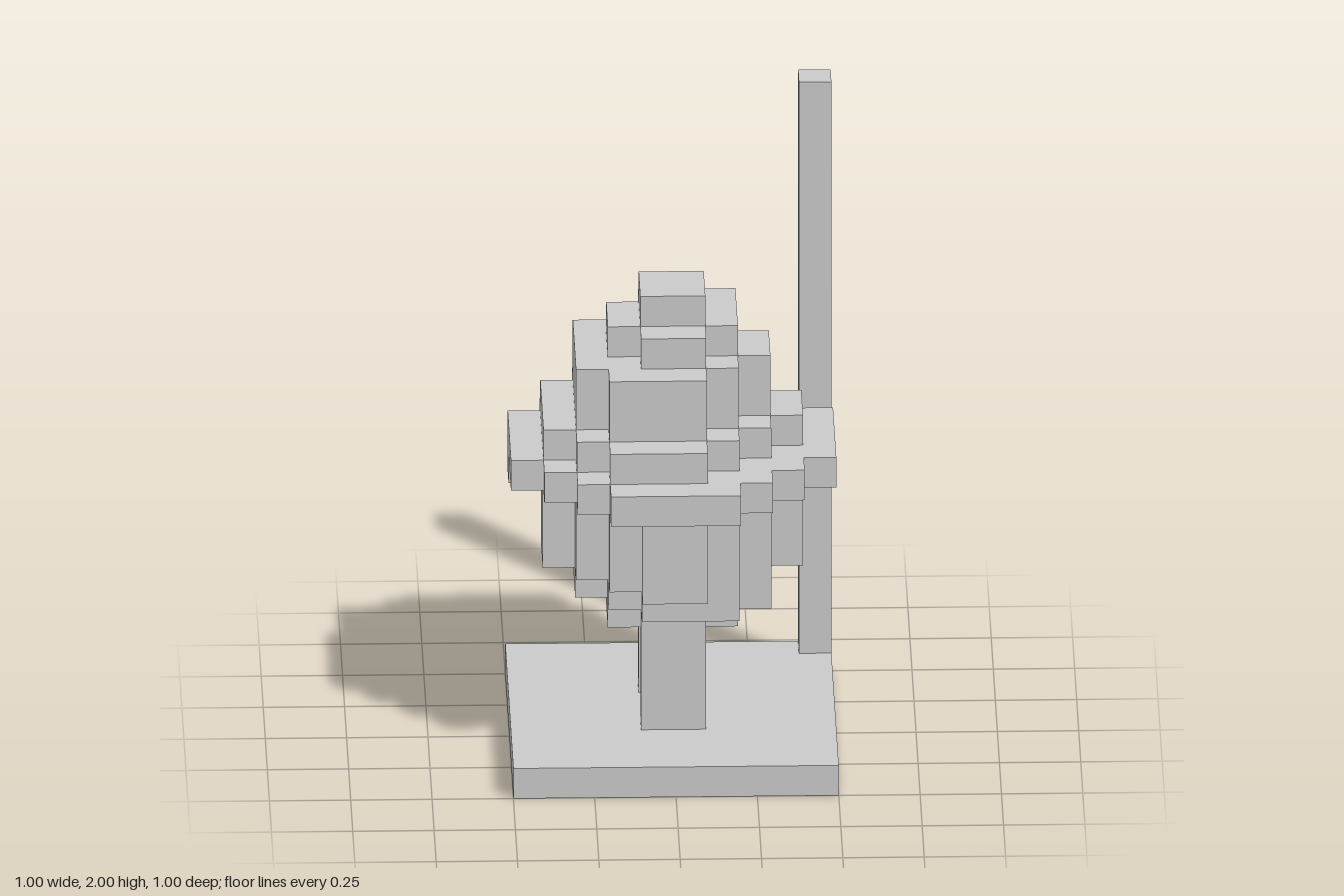
import * as THREE from 'three';

const U = 0.1; // size of one block
const material = new THREE.MeshStandardMaterial({ color: 0xcccccc, flatShading: true });

// A stepped slab: rows of [xMin, xMax] in blocks, running from back to front and centred on z.
function slab(name, y, height, rows) {
  const z0 = -rows.length / 2;
  const right = [], left = [];
  rows.forEach(([a, b], i) => {
    for (const z of [z0 + i, z0 + i + 1]) {
      right.push(new THREE.Vector2(b * U, -z * U));
      left.push(new THREE.Vector2(a * U, -z * U));
    }
  });
  // drop repeated points where neighbouring rows are equally wide
  const outline = [...right, ...left.reverse()].filter((p, i, all) => i === 0 || !p.equals(all[i - 1]));
  const geometry = new THREE.ExtrudeGeometry(new THREE.Shape(outline), { depth: height * U, bevelEnabled: false });
  geometry.rotateX(-Math.PI / 2);
  const mesh = new THREE.Mesh(geometry, material);
  mesh.name = name;
  mesh.position.y = y * U;
  return mesh;
}

function block(name, x, y, z, w, h, d) {
  const mesh = new THREE.Mesh(new THREE.BoxGeometry(w * U, h * U, d * U), material);
  mesh.name = name;
  mesh.position.set(x * U, (y + h / 2) * U, z * U);
  return mesh;
}

export function createModel() {
  const model = new THREE.Group();
  model.name = 'blockFigureOnStand';

  // Stand with a tall corner post
  model.add(block('base', 0, 0, 0, 10, 1, 10));
  model.add(block('post', 4.5, 1, -4.5, 1, 19, 1));

  // Two supports, one behind the other
  for (const side of [1, -1]) {
    model.add(block(side > 0 ? 'frontLeg' : 'backLeg', 0, 1, side * 1.5, 2, 3, 1));
  }

  // Rounded body, built from the bottom up
  const body = new THREE.Group();
  body.name = 'body';
  body.add(
    slab('bodyBottom', 4, 1, [[-1, 1], [-2, 2], [-2, 2], [-1, 1]]),
    slab('lowerBody', 5, 1, [[-1, 1], [-2, 2], [-3, 3], [-3, 3], [-2, 3], [-1, 2]]),
    slab('middleBody', 6, 2,
      [[-1, 1], [-2, 2], [-3, 4], [-4, 4], [-4, 4], [-3, 3], [-2, 2], [-1, 1]]),
    // the rim hangs one block lower at one back corner
    slab('hangingRim', 8, 1,
      [[-3, 1], [-4, 2], [-5, 4], [-4, 4], [-4, 4], [-3, 3], [-2, 2], [-1, 1]]),
    slab('rim', 9, 1,
      [[-1, 2], [-3, 3], [-4, 4], [-5, 5], [-5, 5], [-5, 5], [-5, 5], [-4, 4], [-3, 3], [-2, 2]]),
    slab('upperStep', 10, 1,
      [[-2, 1], [-3, 2], [-4, 3], [-4, 4], [-4, 4], [-4, 3], [-3, 2], [-2, 1]]),
    slab('upperBody', 11, 2, [[-1, 1], [-3, 2], [-3, 3], [-3, 3], [-3, 2], [-2, 1]]),
    slab('crown', 13, 1, [[-1, 2], [-2, 2], [-2, 2], [-1, 1]]),
    slab('cap', 14, 1, [[-1, 1], [-1, 1]]),
  );
  model.add(body);
  return model;
}
